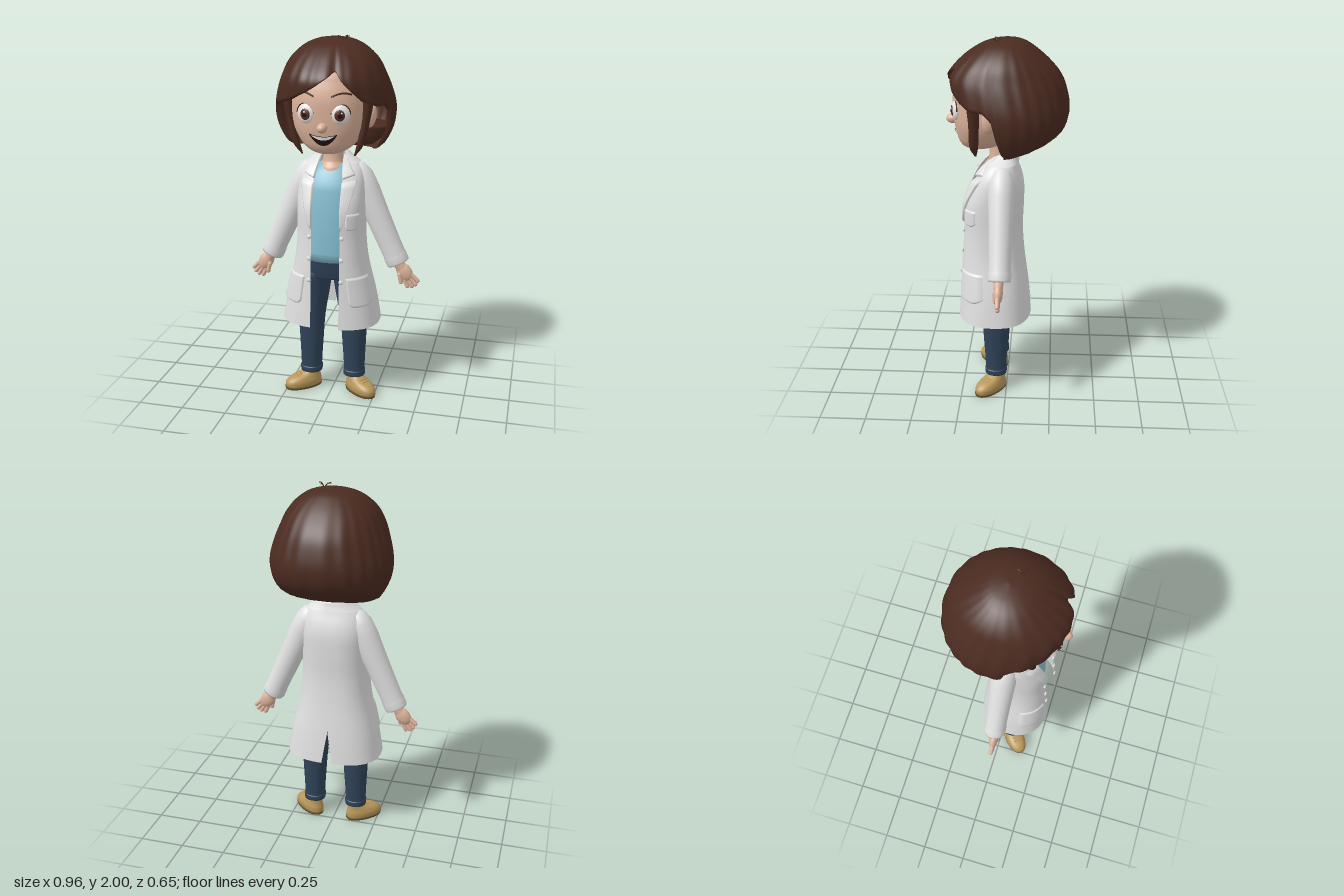
import * as THREE from 'three';
import { mergeVertices } from 'three/addons/utils/BufferGeometryUtils.js';

const mat = (name, color, side = THREE.FrontSide) => new THREE.MeshStandardMaterial({ name, color, side });
const pw = (v, e) => Math.sign(v) * Math.abs(v) ** e;
const clamp = THREE.MathUtils.clamp, lerp = THREE.MathUtils.lerp;

// Smooth surface from a grid of points; u runs right, v runs up when seen from outside
function grid(nu, nv, fn, flip = false) {
  const pos = [], idx = [];
  for (let j = 0; j <= nv; j++) for (let i = 0; i <= nu; i++) pos.push(...fn(i / nu, j / nv));
  for (let j = 0; j < nv; j++) for (let i = 0; i < nu; i++) {
    const a = j * (nu + 1) + i, b = a + 1, d = a + nu + 1, c = d + 1;
    idx.push(...(flip ? [a, d, b, c, b, d] : [a, b, d, c, d, b]));
  }
  let g = new THREE.BufferGeometry();
  g.setAttribute('position', new THREE.Float32BufferAttribute(pos, 3));
  g.setIndex(idx);
  g = mergeVertices(g, 1e-5);
  g.computeVertexNormals();
  return g;
}

// Rows are [y, half width, front z, back z, centre x]; smooth value at any height
function at(rows, y) {
  const n = rows.length;
  y = clamp(y, rows[0][0], rows[n - 1][0]);
  let i = 0;
  while (i < n - 2 && y > rows[i + 1][0]) i++;
  const A = rows[i], B = rows[i + 1], h = B[0] - A[0], t = (y - A[0]) / h;
  const slope = (k, c) => {
    const p = rows[Math.max(k - 1, 0)], q = rows[Math.min(k + 1, n - 1)];
    return ((q[c] || 0) - (p[c] || 0)) / (q[0] - p[0]);
  };
  return [0, 1, 2, 3, 4].map(c => c === 0 ? y :
    (A[c] || 0) * (2 * t ** 3 - 3 * t * t + 1) + (B[c] || 0) * (3 * t * t - 2 * t ** 3) +
    h * (slope(i, c) * (t ** 3 - 2 * t * t + t) + slope(i + 1, c) * (t ** 3 - t * t)));
}

// Point on a rounded cross-section; angle 0 faces the front
function ring([y, hw, zf, zb, cx = 0], a, p, k = 1) {
  return [cx + k * hw * pw(Math.sin(a), 2 / p), y, (zf + zb) / 2 + k * (zf - zb) / 2 * pw(Math.cos(a), 2 / p)];
}

function loft(rows, p = 2.2, n = 40, k = 4) {
  const rings = [];
  for (let i = 0; i < rows.length - 1; i++)
    for (let j = 0; j < k; j++) rings.push(at(rows, lerp(rows[i][0], rows[i + 1][0], j / k)));
  rings.push(rows.at(-1));
  const m = rings.length + 1;
  return grid(n, m, (u, v) => {
    const j = Math.round(v * m), r = rings[clamp(j - 1, 0, rings.length - 1)];
    return ring(r, (u % 1) * Math.PI * 2, p, j === 0 || j === m ? 0 : 1);
  });
}

// Point on the front of a lofted surface, pushed out by off
const angleAt = (r, x, p) => Math.asin(pw(clamp(x / r[1], -0.995, 0.995), p / 2));
function onFront(rows, p, x, y, off) {
  const r = at(rows, y), a = angleAt(r, x, p), P = ring(r, a, p);
  const nx = pw(Math.sin(a), 2 - 2 / p) / r[1], nz = pw(Math.cos(a), 2 - 2 / p) / ((r[2] - r[3]) / 2);
  const l = Math.hypot(nx, nz);
  return [P[0] + nx / l * off, y, P[2] + nz / l * off];
}
// Patch hugging a lofted surface, with its rim tucked in
function drape(rows, p, fn, off, n = 16, rim = 0.001) {
  return grid(n, n, (u, v) => {
    const [x, y] = fn(u, v), edge = u === 0 || u === 1 || v === 0 || v === 1;
    return onFront(rows, p, x, y, edge ? rim : off);
  }, fn(1, 0.5)[0] < fn(0, 0.5)[0]);
}

const HEAD = [[1.40, 0, .15, .15], [1.41, .06, .215, .08], [1.44, .12, .25, .02], [1.49, .165, .268, -.05],
  [1.55, .195, .28, -.1], [1.62, .21, .285, -.14], [1.70, .21, .285, -.16], [1.78, .195, .265, -.15],
  [1.85, .15, .22, -.1], [1.9, 0, .05, .05]];
const HAIR = [[1.395, .2, .1, -.06], [1.42, .25, .13, -.14], [1.48, .29, .22, -.255], [1.55, .315, .27, -.31],
  [1.63, .32, .29, -.325], [1.72, .3, .31, -.31], [1.8, .27, .31, -.28], [1.88, .23, .245, -.215],
  [1.95, .155, .15, -.13], [1.98, .08, .07, -.07], [1.99, 0, 0, 0]];
// Lower hair edge: [angle in degrees, height]
const EDGE = [[-180, 1.4], [-90, 1.405], [-80, 1.44], [-75, 1.62], [-68, 1.66], [-55, 1.66], [-36, 1.69], [-18, 1.735],
  [-8, 1.765], [6, 1.815], [14, 1.845], [20, 1.80], [30, 1.74], [40, 1.69], [55, 1.66], [68, 1.66], [75, 1.62],
  [80, 1.44], [90, 1.405], [180, 1.4]];
const COAT = [[.45, .27, .27, -.135], [.6, .245, .26, -.12], [.8, .2, .25, -.095], [.95, .185, .24, -.085],
  [1.1, .185, .235, -.09], [1.2, .185, .2, -.09], [1.27, .175, .165, -.075], [1.32, .15, .125, -.055],
  [1.355, .105, .085, -.045], [1.385, .065, .045, -.035]];
const COLLAR = [[1.335, .145, .12, -.063], [1.36, .108, .09, -.054], [1.385, .075, .055, -.046], [1.395, .06, .04, -.036]];

export function createModel() {
  const M = {
    hair: mat('brown hair', 0x4b2b20, THREE.DoubleSide), skin: mat('skin', 0xdcb39b),
    coat: mat('white coat', 0xe0e0e0, THREE.DoubleSide), shirt: mat('blue shirt', 0x86bdd0),
    navy: mat('navy trousers', 0x2f4358), shoe: mat('tan shoe', 0xb8975a), sole: mat('dark sole', 0x6a5632),
    white: mat('eye white', 0xececec), iris: mat('brown iris', 0x5e2a1c), dark: mat('dark mouth', 0x24110f),
  };
  const model = new THREE.Group();
  const add = (name, geo, m, parent = model, pos = [0, 0, 0], scale = [1, 1, 1]) => {
    const mesh = new THREE.Mesh(geo, m);
    mesh.name = name;
    mesh.position.set(...pos);
    mesh.scale.set(...scale);
    parent.add(mesh);
    return mesh;
  };
  const group = (name, pos, parent = model) => {
    const g = new THREE.Group();
    g.name = name;
    g.position.set(...pos);
    parent.add(g);
    return g;
  };
  const ball = new THREE.SphereGeometry(1, 28, 20);

  // Head, neck and face
  add('head', loft(HEAD, 2.2, 56), M.skin);
  add('neck', loft([[1.25, .08, .13, -.02], [1.31, .07, .125, -.02], [1.345, .056, .1, -.01], [1.46, .052, .1, -.005]], 2), M.skin);
  add('nose', ball, M.skin, model, [0, 1.56, .29], [.027, .026, .035]);
  const mouthPatch = (w, top, bottom, off) => drape(HEAD, 2.2, (u, v) => {
    const q = (2 * u - 1) ** 2;
    return [w * (2 * u - 1), lerp(bottom[0] + bottom[1] * q, top[0] + top[1] * q, v)];
  }, off, 16, off);
  add('mouth', mouthPatch(.072, [1.514, .012], [1.464, .058], .004), M.dark);
  add('teeth', mouthPatch(.058, [1.512, .008], [1.494, .022], .007), M.white);

  // Bobbed hair with a side parting
  const hairEdge = deg => {
    const i = Math.max(1, EDGE.findIndex(e => e[0] >= deg)), [a, b] = [EDGE[i - 1], EDGE[i]];
    return lerp(a[1], b[1], (deg - a[0]) / (b[0] - a[0]));
  };
  const NV = 34;
  add('hair', grid(144, NV, (u, v) => {
    const deg = u === 1 ? -180 : u * 360 - 180, a = deg * Math.PI / 180;
    const t = Math.min(1, (1 - v) * NV / (NV - 1)), end = v === 0;
    const tt = Math.min(1, (NV - Math.round(v * NV)) / (NV - 1));
    const y = 1.99 - (1.99 - hairEdge(deg)) * (end ? 1 : tt) ** 1.7;
    const groove = .06 * Math.exp(-(((deg - 14) / 4) ** 2)) * tt;
    const strands = .009 * Math.sin(a * 22 + 2 * Math.sin(a * 3)) * Math.min(1, t * 1.5);
    return ring(at(HAIR, y), a, 2.1, (end ? .93 : 1) + strands - groove);
  }), M.hair);
  add('hairUnderside', loft([[1.42, .2, .03, -.13], [1.46, .25, .04, -.2], [1.52, .28, .045, -.26]], 2.1), M.hair);
  for (const [dx, dz] of [[-.035, .01], [.03, .015], [.01, -.03]]) {
    const curve = new THREE.QuadraticBezierCurve3(new THREE.Vector3(.06, 1.965, .05),
      new THREE.Vector3(.06 + dx * .3, 2.0, .05 + dz * .3), new THREE.Vector3(.06 + dx, 1.995, .05 + dz));
    add('looseStrand', new THREE.TubeGeometry(curve, 8, .003, 5), M.hair);
  }

  // Shirt and trouser top
  add('shirt', loft([[.808, .165, .205, -.06], [1.0, .16, .2, -.06], [1.2, .16, .175, -.06], [1.28, .13, .14, -.05], [1.33, .07, .1, -.02]]), M.shirt);
  add('trouserTop', loft([[.7, .165, .172, -.05], [.75, .172, .185, -.06], [.82, .16, .198, -.055]]), M.navy);

  // Half of the coat body, open at the front and slit at the back
  const coatHalf = (rows, s, gap) => grid(36, 40, (u, v) => {
    const r = at(rows, lerp(rows[0][0], rows.at(-1)[0], v));
    const a0 = angleAt(r, Math.min(gap, r[1] * .9), 2.5);
    const a1 = angleAt(r, .03 * Math.max(0, (.64 - r[0]) / .19), 2.5);
    return ring(r, s * lerp(a0, Math.PI - a1, u), 2.5);
  }, s < 0);

  const sleeve = new THREE.LatheGeometry([[.04, -.49], [.052, -.54], [.06, -.546], [.064, -.535], [.064, -.495], [.061, -.488],
    [.063, -.4], [.067, -.25], [.074, -.1], [.07, -.02], [.05, .035], [.025, .05], [0, .054]].map(p => new THREE.Vector2(...p)), 28);
  const leg = s => loft([[.1, .061, .119, -.002, s * .125], [.128, .062, .12, -.003, s * .125], [.133, .058, .116, .001, s * .125],
    [.3, .066, .126, -.01, s * .123], [.45, .075, .136, -.018, s * .12], [.6, .085, .152, -.03, s * .105], [.73, .088, .17, -.045, s * .09]], 2.2, 32);
  const upper = loft([[.012, .054, .158, -.058], [.04, .057, .158, -.058], [.065, .05, .128, -.052], [.085, .042, .065, -.048], [.108, .039, .04, -.044]], 2.2, 32);
  const soleGeo = loft([[0, .055, .16, -.06], [.014, .058, .163, -.061]], 2.2, 32);

  for (const s of [1, -1]) {
    const side = s > 0 ? 'left' : 'right';
    // Eyes, brows, ears and side locks
    const eye = group(side + 'Eye', [s * .09, 1.628, .262]);
    eye.rotation.y = s * .28;
    add('eyeWhite', ball, M.white, eye, [0, 0, 0], [.048, .052, .023]);
    add('iris', ball, M.iris, eye, [-s * .005, -.002, .018], [.027, .029, .008]);
    add('pupil', ball, M.dark, eye, [-s * .005, -.002, .0235], [.014, .015, .004]);
    add('glint', ball, M.white, eye, [.004, .01, .0255], [.005, .005, .003]);
    add('lashLine', new THREE.TorusGeometry(.049, .0035, 6, 24, Math.PI), M.hair, eye, [0, .003, .004]);
    add(side + 'Brow', drape(HEAD, 2.2, (u, v) => [s * (.045 + .095 * u), 1.712 + .018 * Math.sin(u * 2.6) + .009 * v], .005), M.hair);
    add(side + 'Ear', ball, M.skin, model, [s * .212, 1.595, .085], [.026, .062, .036]).rotation.z = -s * .12;
    add(side + 'SideLock', loft([[1.395, .004, .165, .155, s * .14], [1.45, .017, .188, .143, s * .168], [1.58, .022, .19, .135, s * .198],
      [1.7, .028, .2, .13, s * .212], [1.76, .02, .2, .13, s * .21]], 2, 16), M.hair);

    // Coat panels, lapels, pocket and buttons
    add(side + 'CoatHalf', coatHalf(COAT, s, .078), M.coat);
    add(side + 'CollarBand', coatHalf(COLLAR, s, .068), M.coat);
    add(side + 'Lapel', drape(COAT, 2.5, (u, v) => [s * lerp(.074, lerp(.079, .15, v ** .8), u), lerp(1.0, 1.25 + .012 * u, v)], .012), M.coat);
    add(side + 'Collar', drape(COAT, 2.5, (u, v) => [s * lerp(lerp(.074, .058, v), lerp(.138, .07, v), u), lerp(1.262 + .022 * u, 1.375, v)], .013), M.coat);
    add(side + 'Pocket', drape(COAT, 2.5, (u, v) => {
      const y = lerp(.575 + .03 * Math.abs(2 * u - 1) ** 6, .74, v);
      return [s * at(COAT, y)[1] * (.53 + .455 * u), y];
    }, .008, 24), M.coat);
    for (const y of [.96, .84, .72])
      add('button', ball, M.coat, model, onFront(COAT, 2.5, s * .087, y, .003), [.012, .012, .007]);

    // Sleeve and hand
    const arm = group(side + 'Arm', [s * .135, 1.275, .023]);
    arm.rotation.z = s * .423;
    add('sleeve', sleeve, M.coat, arm, [0, 0, 0], [1, 1, .96]);
    const hand = group(side + 'Hand', [s * .355, .785, .028]);
    hand.rotation.z = s * .62;
    add('wrist', new THREE.CylinderGeometry(.032, .03, .09, 20), M.skin, hand, [0, 0, 0], [1, 1, .85]);
    add('palm', ball, M.skin, hand, [0, -.07, 0], [.041, .058, .025]);
    for (let i = 0; i < 4; i++) {
      const k = i - 1.5;
      const f = add('finger', new THREE.CapsuleGeometry(.0115, .055 - .006 * Math.abs(k - .3), 5, 12), M.skin, hand,
        [k * .0195, -.135 + .004 * k * k, .002]);
      f.rotation.z = k * .12;
    }
    const thumb = add('thumb', new THREE.CapsuleGeometry(.012, .045, 5, 12), M.skin, hand, [-s * .036, -.085, .018]);
    thumb.rotation.z = -s * .4;

    // Trouser leg and turned-out shoe
    add(side + 'TrouserLeg', leg(s), M.navy);
    const shoe = group(side + 'Shoe', [s * .128, 0, .055]);
    shoe.rotation.y = s * .88;
    add('shoeUpper', upper, M.shoe, shoe);
    add('sole', soleGeo, M.sole, shoe);
    for (let i = 0; i < 3; i++)
      add('lace', new THREE.CapsuleGeometry(.004, .036, 4, 8), M.shoe, shoe, [0, .089 - .007 * i, .052 + .021 * i]).rotation.z = Math.PI / 2;
  }
  // Chest pocket
  add('chestPocket', drape(COAT, 2.5, (u, v) => [.105 + .063 * u, lerp(1.0 + .02 * Math.abs(2 * u - 1) ** 4, 1.09, v)], .007), M.coat);
  return model;
}
